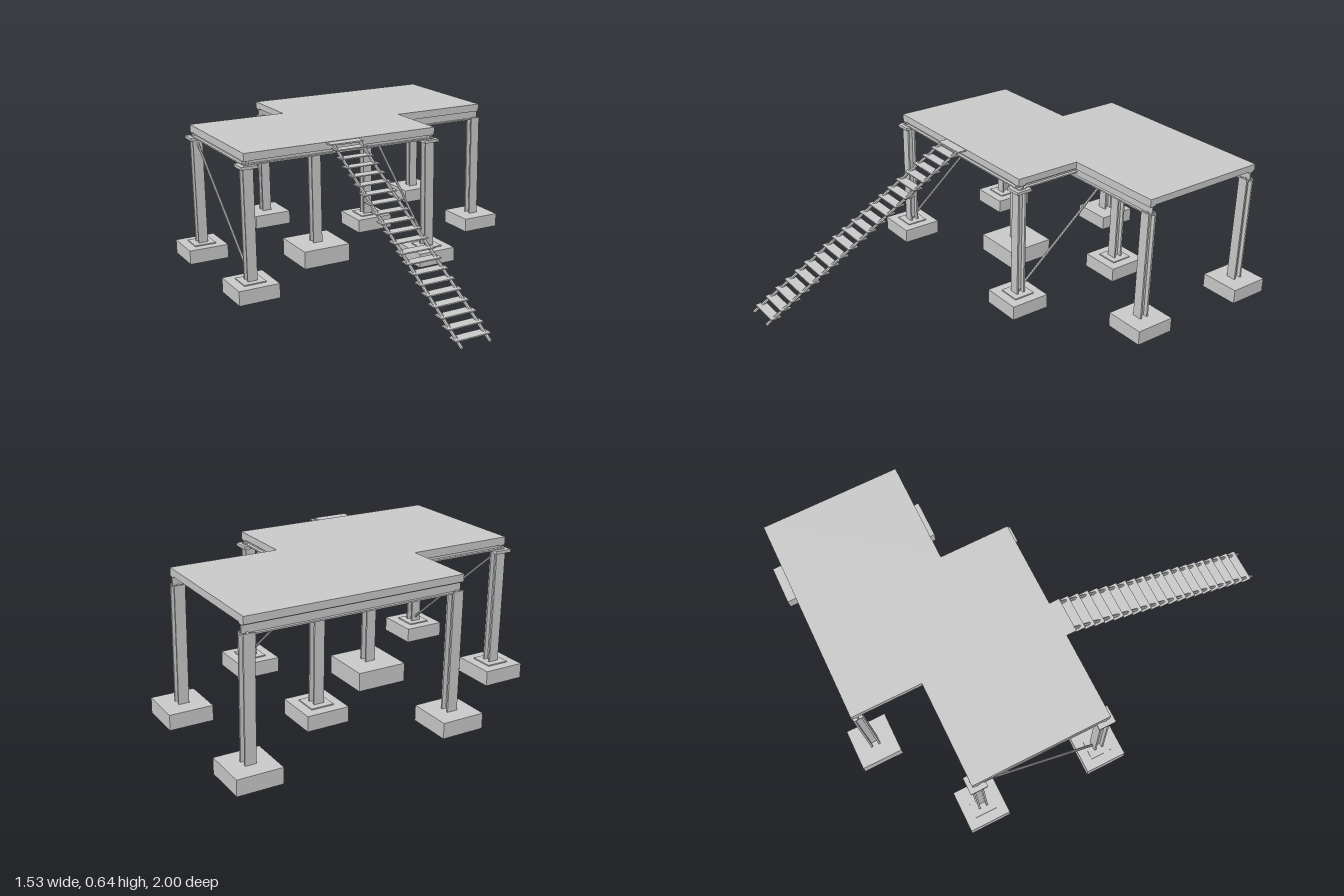
import * as THREE from 'three';

const material = new THREE.MeshStandardMaterial({ color: 0xcccccc, flatShading: true });

export function createModel() {
  const model = new THREE.Group();
  model.name = 'raisedPlatform';

  const add = (name, geometry, parent = model) => {
    const mesh = new THREE.Mesh(geometry, material);
    mesh.name = name;
    parent.add(mesh);
    return mesh;
  };
  // Box given by its bottom height and centre
  const box = (name, w, h, d, x, y, z, parent) => {
    const mesh = add(name, new THREE.BoxGeometry(w, h, d), parent);
    mesh.position.set(x, y + h / 2, z);
    return mesh;
  };
  // Straight round bar between two points
  const bar = (name, a, b, radius, parent) => {
    const mesh = add(name, new THREE.CylinderGeometry(radius, radius, a.distanceTo(b), 8), parent);
    mesh.position.copy(a).lerp(b, 0.5);
    mesh.quaternion.setFromUnitVectors(new THREE.Vector3(0, 1, 0), b.clone().sub(a).normalize());
    return mesh;
  };
  // H section, flanges across the width, extruded along z
  const hSection = (w, h, t, length) => {
    const s = new THREE.Shape();
    const a = w / 2, b = h / 2, c = t / 2;
    [[-a, -b], [a, -b], [a, t - b], [c, t - b], [c, b - t], [a, b - t],
      [a, b], [-a, b], [-a, b - t], [-c, b - t], [-c, t - b], [-a, t - b]]
      .forEach(([x, y], i) => (i ? s.lineTo(x, y) : s.moveTo(x, y)));
    s.closePath();
    return new THREE.ExtrudeGeometry(s, { depth: length, bevelEnabled: false })
      .translate(0, 0, -length / 2);
  };
  const beam = (name, w, h, length, x, y, z, alongX) => {
    const mesh = add(name, hSection(w, h, 0.006, length));
    if (alongX) mesh.rotation.y = Math.PI / 2;
    mesh.position.set(x, y + h / 2, z);
  };
  const post = (x, z, y0, y1, parent) => {
    const mesh = add('post', hSection(0.045, 0.043, 0.008, y1 - y0), parent);
    mesh.rotation.x = -Math.PI / 2;
    mesh.position.set(x, (y0 + y1) / 2, z);
  };

  // Deck: two overlapping rectangles as one stepped slab
  const deck = new THREE.Shape([
    [-0.69, 0.01], [0.23, 0.01], [0.23, 0.32], [0.69, 0.32],
    [0.69, 0.93], [-0.23, 0.93], [-0.23, 0.62], [-0.69, 0.62],
  ].map(([x, y]) => new THREE.Vector2(x, y)));
  const slab = add('deck', new THREE.ExtrudeGeometry(deck, { depth: 0.03, bevelEnabled: false }));
  slab.rotation.x = -Math.PI / 2;
  slab.position.y = 0.61;

  // Front section: posts with base and cap plates, frame and braces
  for (const x of [-0.672, 0.207]) {
    for (const z of [-0.03, -0.6]) {
      const support = new THREE.Group();
      support.name = 'frontSupport';
      model.add(support);
      box('footing', 0.185, 0.065, 0.185, x, 0.015, z, support);
      box('basePlate', 0.1, 0.005, 0.1, x, 0.08, z, support);
      post(x, z, 0.085, 0.575, support);
      box('capPlate', 0.075, 0.013, 0.075, x, 0.575, z, support);
    }
    beam('sideBeam', 0.034, 0.026, 0.61, x, 0.585, -0.315, false);
    bar('brace', new THREE.Vector3(x, 0.09, -0.03), new THREE.Vector3(x, 0.575, -0.6), 0.006);
  }
  for (const z of [-0.03, -0.6]) beam('crossBeam', 0.034, 0.026, 0.92, -0.23, 0.585, z, true);

  // Rear section: taller beams along x, one larger footing under the deck
  for (const z of [-0.335, -0.908]) {
    for (const x of [-0.21, 0.668]) {
      const support = new THREE.Group();
      support.name = 'rearSupport';
      model.add(support);
      const large = x < 0 && z > -0.5;
      const size = large ? 0.23 : 0.185;
      box('footing', size, large ? 0.083 : 0.065, size, x, large ? 0 : 0.018, z, support);
      post(x, z, 0.083, 0.575, support);
    }
    beam('rearBeam', 0.03, 0.046, 0.92, 0.23, 0.565, z, true);
  }

  // Stair: two sloping rails, flat treads and a narrow top landing
  const stair = new THREE.Group();
  stair.name = 'stair';
  model.add(stair);
  const top = new THREE.Vector3(0, 0.633, 0.03), foot = new THREE.Vector3(0, 0.09, 0.997);
  for (const x of [-0.297, -0.172]) {
    bar('stairRail', top.clone().setX(x), foot.clone().setX(x), 0.007, stair);
  }
  const count = 20, step = 0.0475;
  for (let i = 0; i < count; i++) {
    const z = 0.03 + (i + 0.5) * step;
    const y = THREE.MathUtils.mapLinear(z, top.z, foot.z, top.y, foot.y);
    box('tread', 0.155, 0.005, 0.046, -0.235, y - 0.0025, z, stair);
  }
  box('landing', 0.155, 0.006, 0.045, -0.235, 0.632, 0.0125, stair);

  return model;
}
